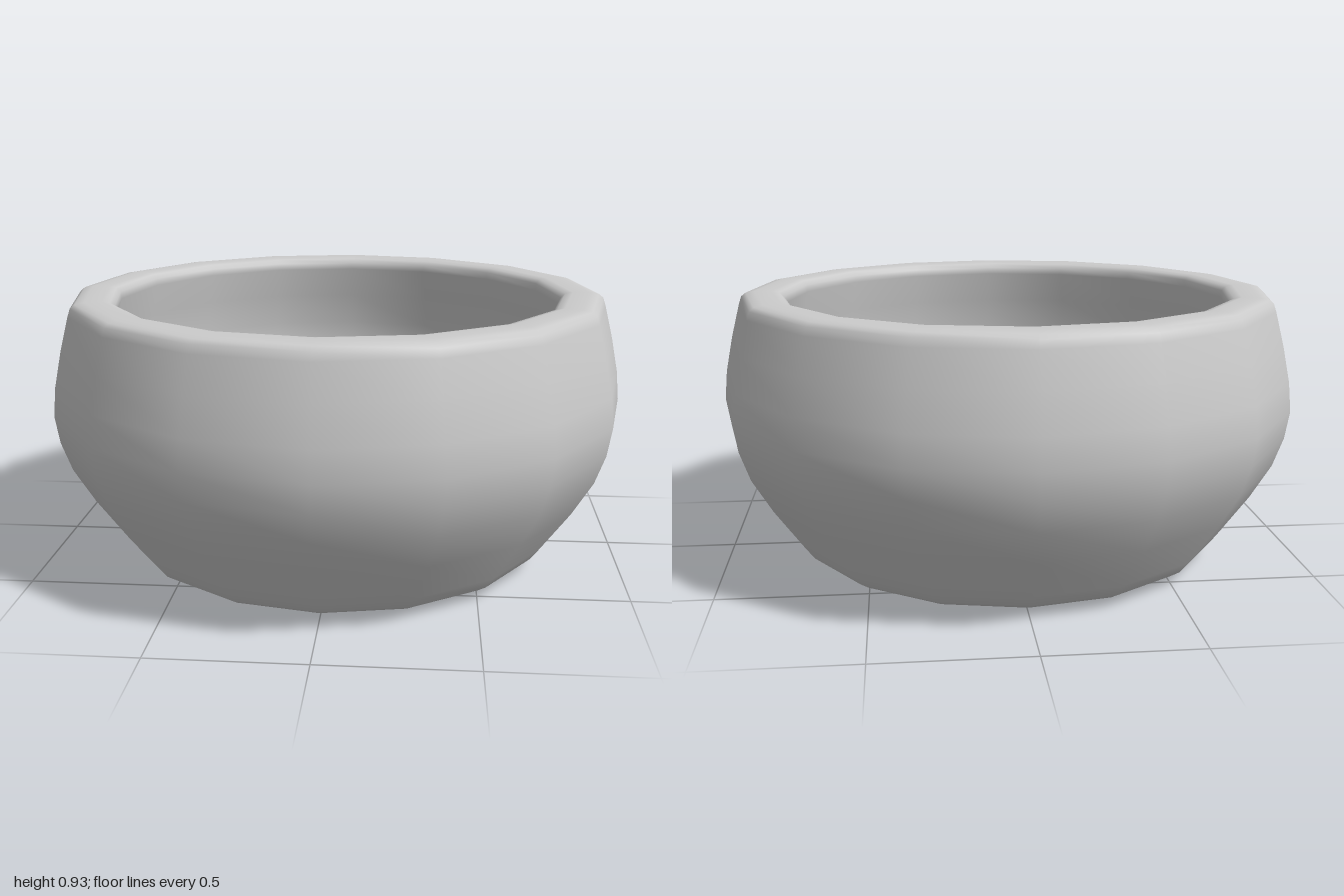
import * as THREE from 'three';

const SIDES = 16;

export function createModel() {
  const group = new THREE.Group();
  group.name = 'bowl';

  // Cross-section: underside, bulging outer wall, rounded rim, inner wall, floor
  const profile = [
    [0, 0], [0.47, 0.004], [0.65, 0.01], [0.71, 0.022], [0.745, 0.045], [0.775, 0.085],
    [0.88, 0.235], [0.95, 0.355], [0.985, 0.455], [1, 0.55], [0.99, 0.65],
    [0.965, 0.77], [0.935, 0.885], [0.926, 0.912], [0.91, 0.925], [0.88, 0.93],
    [0.82, 0.93], [0.795, 0.925], [0.78, 0.91], [0.778, 0.885],
    [0.805, 0.77], [0.825, 0.65], [0.83, 0.55], [0.81, 0.45], [0.77, 0.36],
    [0.7, 0.26], [0.625, 0.19], [0.56, 0.163], [0.48, 0.155], [0, 0.15],
  ].map(([r, y]) => new THREE.Vector2(r, y));

  const bowl = new THREE.Mesh(
    new THREE.LatheGeometry(profile, SIDES),
    new THREE.MeshStandardMaterial({ color: 0xcccccc })
  );
  bowl.name = 'bowlShell';
  group.add(bowl);
  return group;
}
